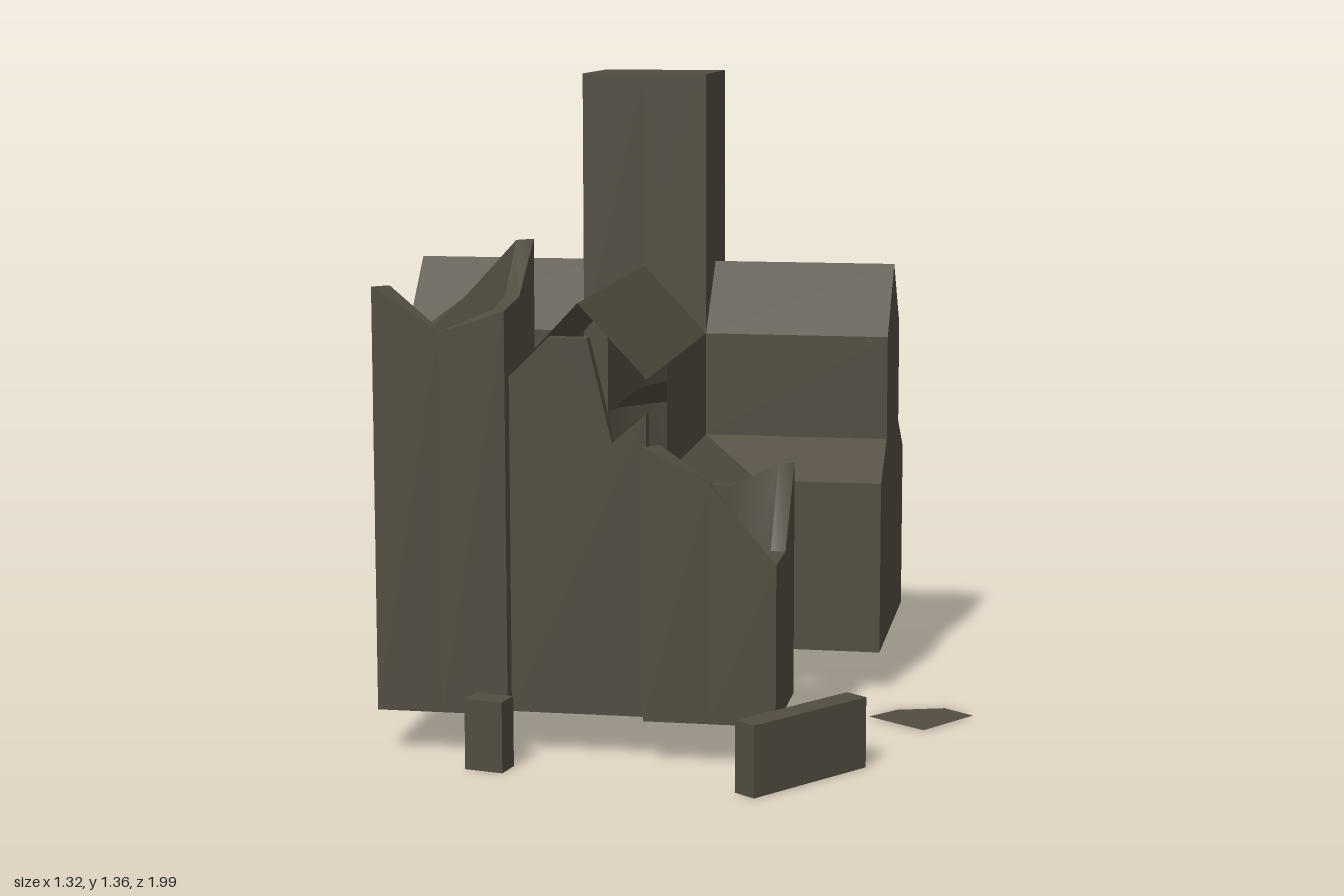
import * as THREE from 'three';
import { toCreasedNormals } from 'three/addons/utils/BufferGeometryUtils.js';

const AXIS = -0.11;      // x of the church's long axis
const CROSS_Z = -0.105;  // z of the transept ridge
const BASE = 0.09, AISLE = 0.47, LEAN = 0.55, EAVE = 0.78, RIDGE = 0.93;

// Eight directions round a square: corners and side middles, from front left
const SQUARE = [[-1, 1], [0, 1], [1, 1], [1, 0], [1, -1], [0, -1], [-1, -1], [-1, 0], [-1, 1]];

// Skin a stack of rows of [x, y, z] points, skipping collapsed triangles
function loft(rows) {
  const pos = [];
  const same = (p, q) => p.every((v, i) => Math.abs(v - q[i]) < 1e-6);
  const tri = (a, b, c) => {
    if (!same(a, b) && !same(b, c) && !same(a, c)) pos.push(...a, ...b, ...c);
  };
  for (let i = 0; i < rows.length - 1; i++) {
    for (let j = 0; j < rows[i].length - 1; j++) {
      const a = rows[i][j], b = rows[i][j + 1], c = rows[i + 1][j + 1], d = rows[i + 1][j];
      tri(a, b, c);
      tri(a, c, d);
    }
  }
  const g = new THREE.BufferGeometry();
  g.setAttribute('position', new THREE.Float32BufferAttribute(pos, 3));
  return toCreasedNormals(g, 0.7);
}

const atHeight = (outline, y) => outline.map(([x, z]) => [x, y, z]);
const mirrored = rows => rows.map(r => r.map(([x, y, z]) => [-x, y, z]).reverse());

export function createModel() {
  const model = new THREE.Group();
  model.name = 'ruinedChurch';
  const stone = new THREE.MeshStandardMaterial({ color: 0x524c40, side: THREE.DoubleSide });
  stone.name = 'darkStone';

  const church = new THREE.Group();
  church.name = 'church';
  church.position.x = AXIS;
  model.add(church);

  const add = (parent, name, geometry) => {
    const mesh = new THREE.Mesh(geometry, stone);
    mesh.name = name;
    parent.add(mesh);
    return mesh;
  };
  const addPair = (name, rows) => {
    add(church, name + 'Left', loft(rows));
    add(church, name + 'Right', loft(mirrored(rows)));
  };

  // Half plans, front to back: aisle walls and the narrower upper walls
  const aisle = [[0.275, 0.53], [0.275, 0.15], [0.55, 0.15], [0.55, -0.36], [0.275, -0.36],
    [0.275, -0.645], [0.23, -0.82], [0.135, -0.93], [0, -1]];
  const upper = [[0.14, 0.53], [0.14, 0.03], [0.55, 0.03], [0.55, -0.24], [0.14, -0.24],
    [0.14, -0.635], [0.1, -0.757], [0.06, -0.82], [0, -0.868]];
  addPair('walls', [atHeight(aisle, BASE), atHeight(aisle, AISLE),
    atHeight(upper, LEAN), atHeight(upper, EAVE)]);

  // Roofs over the nave, transept arms and rounded east end
  addPair('naveRoof', [atHeight([[0.14, 0.76], [0.14, 0.03]], EAVE),
    atHeight([[0, 0.76], [0, 0.03]], RIDGE)]);
  addPair('transeptRoof', [atHeight(upper.slice(1, 5), EAVE),
    atHeight([0.14, 0.55, 0.55, 0.14].map(x => [x, CROSS_Z]), RIDGE)]);
  addPair('apseRoof', [atHeight(upper.slice(4), EAVE),
    atHeight([-0.24, -0.635, -0.76, -0.76, -0.76].map(z => [0, z]), RIDGE)]);

  // Crossing tower, its walls cut to the gables below
  const ring = SQUARE.map(([x, z]) => [x * 0.14, CROSS_Z + z * 0.135]);
  add(church, 'crossingTower', loft([
    ring.map(([x, z], i) => [x, i % 2 ? RIDGE : EAVE, z]),
    atHeight(ring, 1.36),
    ring.map(() => [0, 1.36, CROSS_Z]),
  ]));

  // Broken front wall
  const front = new THREE.Shape([[-0.14, BASE], [0.14, BASE], [0.14, 0.71], [0.07, 0.65],
    [0.02, 0.86], [-0.06, 0.86], [-0.14, 0.78]].map(p => new THREE.Vector2(...p)));
  add(church, 'frontWall', new THREE.ExtrudeGeometry(front, { depth: 0.03, bevelEnabled: false }))
    .position.z = 0.735;

  // Hollow front towers with jagged tops; heights follow SQUARE
  const hollowTower = (name, cx, cz, half, heights) => {
    const tops = [...heights, heights[0]];
    const loop = (r, height) => SQUARE.map(([x, z], i) =>
      [cx + x * r, height ? tops[i] : BASE, cz + z * r]);
    const inner = half - 0.03;
    add(model, name, loft([loop(half, false), loop(half, true),
      loop(inner, true), loop(inner, false), loop(half, false)]));
  };
  hollowTower('tallBrokenTower', -0.387, 0.662, 0.136,
    [0.96, 0.87, 0.915, 0.93, 1.035, 0.92, 0.82, 0.84]);
  hollowTower('lowBrokenTower', 0.163, 0.663, 0.135,
    [0.65, 0.58, 0.42, 0.42, 0.58, 0.53, 0.54, 0.54]);

  // Fallen stones
  const block = (name, w, d, x, z, turn) => {
    const mesh = add(model, name, new THREE.BoxGeometry(w, 0.145, d));
    mesh.position.set(x, 0.0725, z);
    mesh.rotation.y = turn;
  };
  block('smallFallenBlock', 0.082, 0.055, -0.272, 0.87, -0.2);
  block('longFallenBlock', 0.053, 0.313, 0.357, 0.85, -0.655);

  // Flat slab lying on the ground
  const slab = new THREE.Shape([[0.495, -0.3], [0.595, -0.27], [0.66, -0.32],
    [0.565, -0.455], [0.44, -0.365]].map(p => new THREE.Vector2(...p)));
  add(model, 'fallenSlab', new THREE.ShapeGeometry(slab).rotateX(-Math.PI / 2)).position.y = 0.002;

  return model;
}
